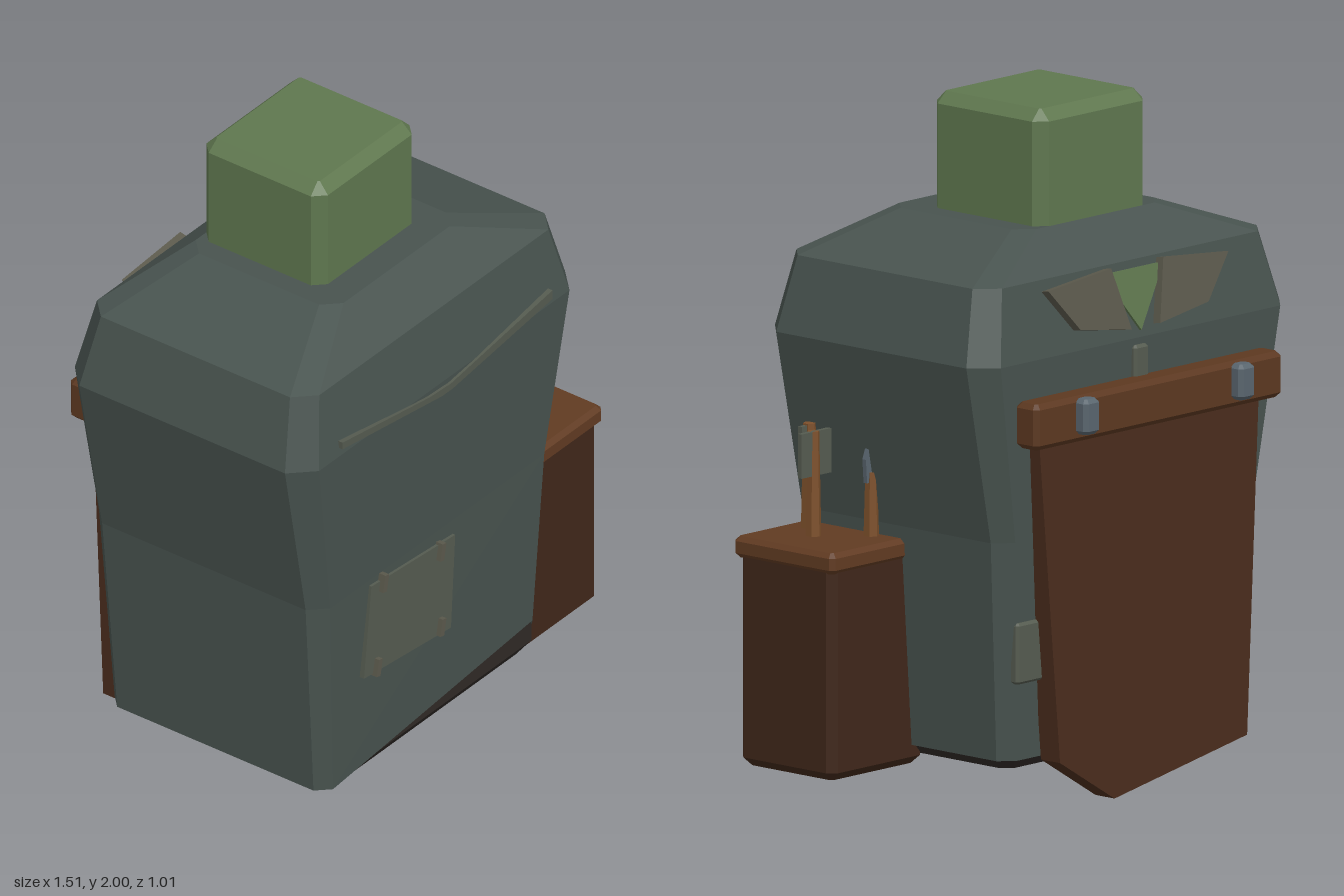
import * as THREE from 'three';

const COLORS = {
  cloth: 0x48534f, skin: 0x5f774f, dark: 0x2f2926, board: 0x4a2d1d, beam: 0x5c3820,
  box: 0x40271a, lid: 0x613b22, wood: 0x7d502b, patch: 0x555b50, flap: 0x5b594c, steel: 0x59656e,
};

export function createModel() {
  const model = new THREE.Group();
  const materials = {};
  for (const key in COLORS) {
    materials[key] = new THREE.MeshStandardMaterial({ color: COLORS[key], flatShading: true });
  }

  const add = (name, geometry, color, parent = model) => {
    const mesh = new THREE.Mesh(geometry, materials[color]);
    mesh.name = name;
    parent.add(mesh);
    return mesh;
  };

  // Closed loft through bevelled rectangles, each [y, x0, x1, z0, z1, bevel]
  const loft = (rings, adjust = () => {}) => {
    const points = rings.map(([y, x0, x1, z0, z1, b], level) => [
      [x1, z0 + b], [x1, z1 - b], [x1 - b, z1], [x0 + b, z1],
      [x0, z1 - b], [x0, z0 + b], [x0 + b, z0], [x1 - b, z0],
    ].map(([x, z], i) => {
      const p = new THREE.Vector3(x, y, z);
      adjust(p, level, i);
      return p;
    }));
    const out = [];
    const tri = (...ps) => ps.forEach((p) => out.push(p.x, p.y, p.z));
    const middle = (ring) => ring.reduce((s, p) => s.add(p), new THREE.Vector3()).divideScalar(8);
    const last = points[points.length - 1];
    const bottom = middle(points[0]);
    const top = middle(last);
    for (let i = 0; i < 8; i++) {
      const j = (i + 1) % 8;
      for (let k = 0; k + 1 < points.length; k++) {
        tri(points[k][i], points[k + 1][i], points[k][j]);
        tri(points[k][j], points[k + 1][i], points[k + 1][j]);
      }
      tri(bottom, points[0][i], points[0][j]);
      tri(top, last[j], last[i]);
    }
    const geometry = new THREE.BufferGeometry();
    geometry.setAttribute('position', new THREE.Float32BufferAttribute(out, 3));
    geometry.computeVertexNormals();
    return geometry;
  };

  // Box with chamfered edges
  const chamferBox = (x0, x1, y0, y1, z0, z1, c) => loft([
    [y0, x0 + c, x1 - c, z0 + c, z1 - c, c / 2],
    [y0 + c, x0, x1, z0, z1, c],
    [y1 - c, x0, x1, z0, z1, c],
    [y1, x0 + c, x1 - c, z0 + c, z1 - c, c / 2],
  ]);

  // Flat outline in x and y, thickened from z0 to z1
  const plate = (outline, z0, z1) => new THREE.ExtrudeGeometry(
    new THREE.Shape(outline.map(([x, y]) => new THREE.Vector2(x, y))),
    { depth: z1 - z0, bevelEnabled: false },
  ).translate(0, 0, z0);

  // Body, with the front hem rising towards one corner
  add('body', loft([
    [0.15, -0.61, 0.41, -0.335, 0.456, 0.04],
    [0.8, -0.655, 0.455, -0.365, 0.472, 0.05],
    [1.33, -0.76, 0.56, -0.387, 0.498, 0.07],
    [1.55, -0.7, 0.5, -0.345, 0.46, 0.06],
    [1.66, -0.4, 0.2, -0.21, 0.325, 0.05],
  ], (p, level, i) => {
    if (level === 0 && i === 2) p.y = 0.235;
  }), 'cloth');
  add('base', loft([
    [0.12, -0.57, 0.37, -0.3, 0.42, 0.03],
    [0.16, -0.605, 0.405, -0.33, 0.448, 0.03],
    [0.3, -0.605, 0.405, -0.33, 0.448, 0.03],
  ]), 'dark');

  // Head
  add('head', loft([
    [1.5, -0.335, 0.13, -0.21, 0.23, 0.035],
    [1.967, -0.335, 0.13, -0.21, 0.23, 0.035],
    [2, -0.3, 0.097, -0.177, 0.197, 0.005],
  ]), 'skin');

  // Chest seam
  add('chestSeam', plate([
    [-0.59, 1.355], [-0.12, 1.29], [-0.07, 1.29], [0.4, 1.35],
    [0.4, 1.38], [-0.08, 1.312], [-0.18, 1.317], [-0.59, 1.378],
  ], 0.47, 0.506), 'patch');

  // Front patch and its stitches
  const patch = new THREE.Group();
  patch.name = 'frontPatch';
  model.add(patch);
  add('patchCloth', plate([
    [-0.455, 0.48], [-0.045, 0.44], [-0.025, 0.75], [-0.42, 0.78],
  ], 0.45, 0.48), 'patch', patch);
  for (const [x, y] of [[-0.37, 0.77], [-0.1, 0.735], [-0.4, 0.495], [-0.1, 0.475]]) {
    const stitch = add('stitch', new THREE.BoxGeometry(0.018, 0.055, 0.03), 'flap', patch);
    stitch.position.set(x, y, 0.48);
    stitch.rotation.z = -0.2;
  }

  // Collar flaps on the upper back, following its slope
  const collar = new THREE.Group();
  collar.name = 'backCollar';
  collar.position.set(-0.1, 1.33, -0.387);
  collar.rotation.x = Math.atan2(0.042, 0.22);
  model.add(collar);
  for (const side of [1, -1]) {
    add('collarFlap', plate([
      [0.38 * side, 0.19], [0.11 * side, 0.215], [0.06 * side, 0.03], [0.27 * side, 0.06],
    ], -0.028, 0.01), 'flap', collar);
  }
  add('neckOpening', plate([[0.13, 0.2], [-0.13, 0.2], [0, 0.02]], -0.008, 0.01), 'skin', collar);
  add('collarTab', chamferBox(-0.125, -0.065, 1.2, 1.31, -0.4, -0.36, 0.008), 'patch');
  add('sidePatch', chamferBox(0.2, 0.395, 0.38, 0.56, -0.365, -0.33, 0.008), 'patch');

  // Back board hanging from a beam
  add('backBoard', plate([
    [0.36, 1.12], [0.27, 0.14], [0.04, 0], [-0.52, 0.1], [-0.57, 1.12],
  ], -0.415, -0.34), 'board');
  add('beam', chamferBox(-0.62, 0.425, 1.085, 1.22, -0.467, -0.375, 0.015), 'beam');
  for (const x of [-0.43, 0.225]) {
    add('bracket', chamferBox(x - 0.033, x + 0.033, 1.11, 1.215, -0.506, -0.45, 0.012), 'steel');
  }

  // Side tool box
  const toolBox = new THREE.Group();
  toolBox.name = 'toolBox';
  model.add(toolBox);
  add('box', chamferBox(0.35, 0.745, 0.09, 0.73, 0.037, 0.41, 0.025), 'box', toolBox);
  add('lid', chamferBox(0.34, 0.755, 0.7, 0.763, 0.027, 0.42, 0.014), 'lid', toolBox);

  // Tools standing in the box
  const handle = (x, z, top, r) => add('toolHandle',
    new THREE.CylinderGeometry(r * 0.75, r, top - 0.74, 6), 'wood', toolBox)
    .position.set(x, (top + 0.74) / 2, z);
  handle(0.52, 0.335, 1.07, 0.026);
  handle(0.595, 0.25, 1.07, 0.024);
  handle(0.48, 0.13, 0.95, 0.024);
  add('scraper', plate([[0.46, 0.94], [0.56, 0.94], [0.56, 1.065], [0.46, 1.065]],
    0.328, 0.342), 'patch', toolBox);
  add('scraper', plate([[0.53, 0.94], [0.655, 0.94], [0.655, 1.07], [0.53, 1.07]],
    0.24, 0.255), 'patch', toolBox);
  add('blade', plate([[0.455, 0.92], [0.505, 0.92], [0.51, 0.99], [0.48, 1.07]],
    0.123, 0.137), 'steel', toolBox);

  return model;
}
